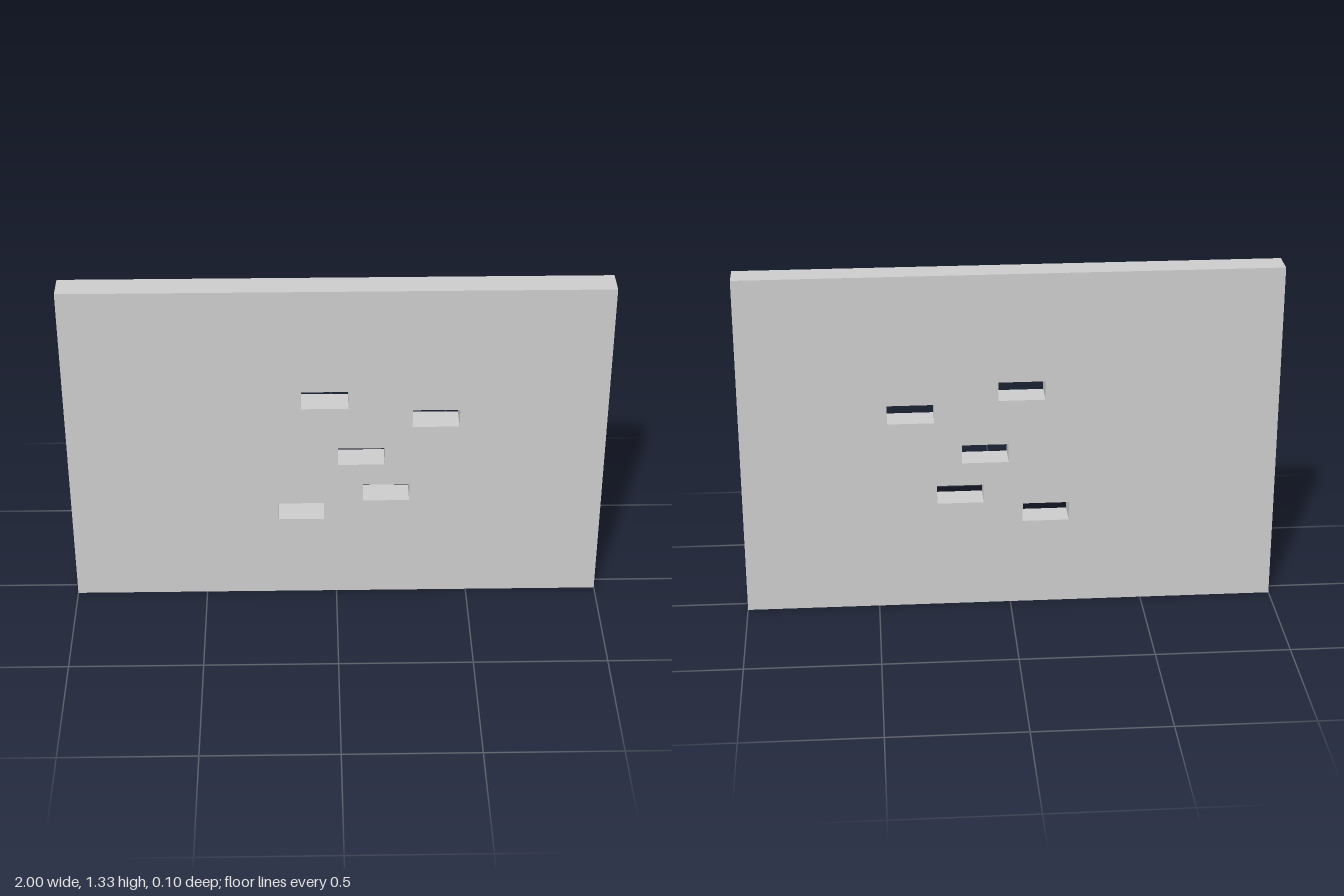
import * as THREE from 'three';

const WIDTH = 2, HEIGHT = 1.327, DEPTH = 0.104;
const SLOT_W = 0.174, SLOT_H = 0.073;

// Centres of the rectangular through-slots
const SLOTS = [
  [-0.043, 0.871],
  [0.368, 0.789],
  [0.093, 0.623],
  [0.187, 0.460],
  [-0.134, 0.377],
];

// Adds a closed rectangle centred on (cx, cy) to a shape or path
function rectangle(path, cx, cy, w, h) {
  path.moveTo(cx - w / 2, cy - h / 2);
  path.lineTo(cx + w / 2, cy - h / 2);
  path.lineTo(cx + w / 2, cy + h / 2);
  path.lineTo(cx - w / 2, cy + h / 2);
  path.closePath();
  return path;
}

export function createModel() {
  const model = new THREE.Group();
  model.name = 'slottedPanel';

  // Upright slab pierced by the slots
  const outline = rectangle(new THREE.Shape(), 0, HEIGHT / 2, WIDTH, HEIGHT);
  for (const [x, y] of SLOTS) {
    outline.holes.push(rectangle(new THREE.Path(), x, y, SLOT_W, SLOT_H));
  }
  const geometry = new THREE.ExtrudeGeometry(outline, { depth: DEPTH, bevelEnabled: false });
  geometry.translate(0, 0, -DEPTH / 2);

  const panel = new THREE.Mesh(geometry, new THREE.MeshStandardMaterial({ color: 0xcccccc }));
  panel.name = 'panel';
  model.add(panel);
  return model;
}
